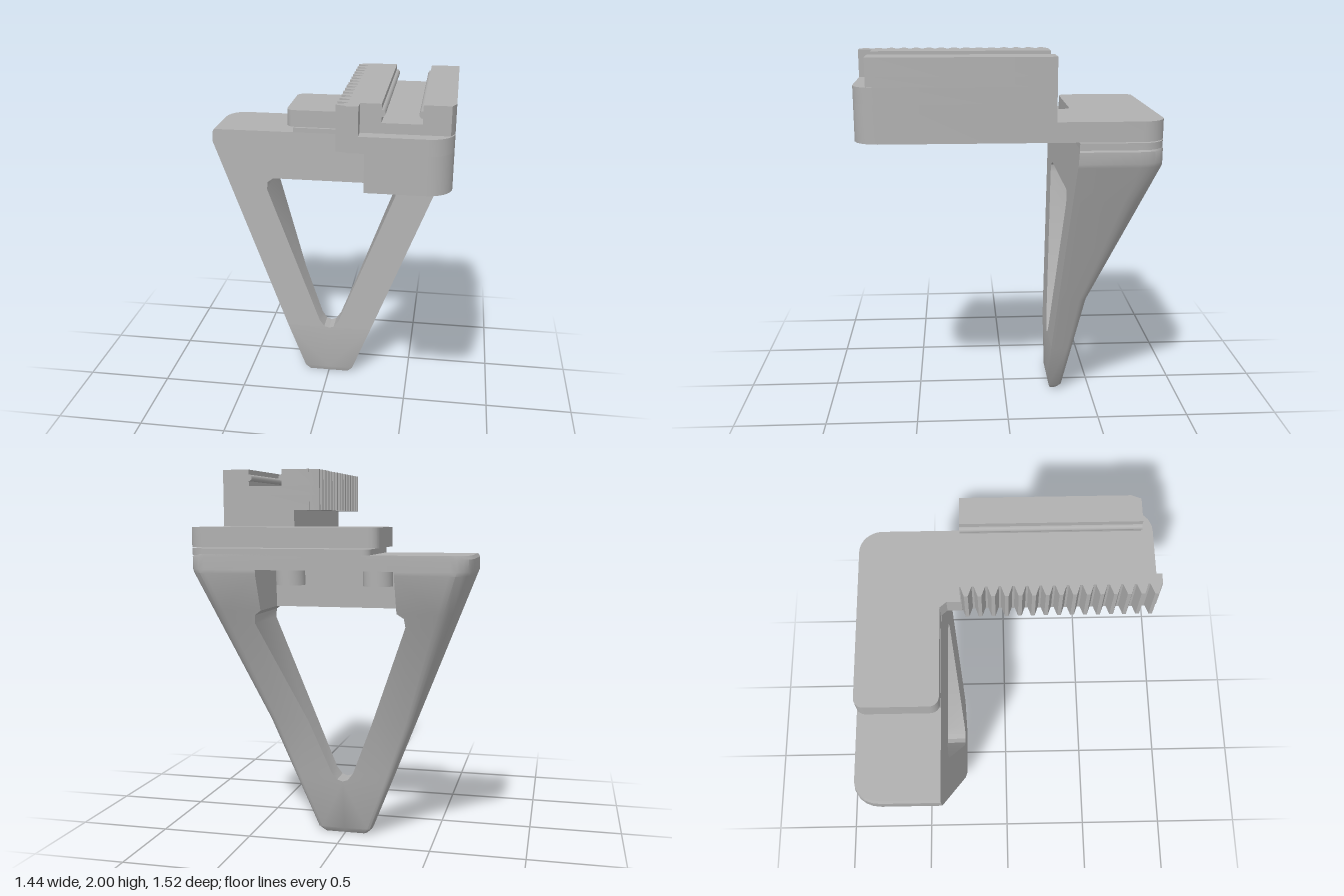
import * as THREE from 'three';
import { mergeVertices, toCreasedNormals } from 'three/addons/utils/BufferGeometryUtils.js';

const grey = new THREE.MeshStandardMaterial({ color: 0xb0b0b0 });
grey.name = 'grey';

function part(name, geometry) {
  const mesh = new THREE.Mesh(geometry, grey);
  mesh.name = name;
  return mesh;
}

// Horizontal slab from an outline of [x, z, cornerRadius] points
function slab(points, y0, y1) {
  const shape = new THREE.Shape();
  const n = points.length;
  points.forEach(([x, z, r = 0], i) => {
    const p = new THREE.Vector2(x, -z);
    const toward = (q) => p.clone().add(new THREE.Vector2(q[0], -q[1]).sub(p).setLength(r));
    const a = r ? toward(points[(i + n - 1) % n]) : p;
    if (i === 0) shape.moveTo(a.x, a.y);
    else shape.lineTo(a.x, a.y);
    if (r) {
      const b = toward(points[(i + 1) % n]);
      const c = p.clone().multiplyScalar(0.55), k = 0.45;
      // cubic close to a circular arc
      shape.bezierCurveTo(a.x * k + c.x, a.y * k + c.y, b.x * k + c.x, b.y * k + c.y, b.x, b.y);
    }
  });
  const g = new THREE.ExtrudeGeometry(shape, { depth: y1 - y0, bevelEnabled: false, curveSegments: 8 });
  g.rotateX(-Math.PI / 2).translate(0, y0, 0);
  return toCreasedNormals(g, 0.6);
}

// Solid through stacked rings of [x, y, z] points; mirrored across x when side is -1
function loft(rings, side = 1) {
  const n = rings[0].length, pos = [], index = [];
  const tri = (a, b, c) => (side > 0 ? index.push(a, b, c) : index.push(a, c, b));
  rings.flat().forEach(([x, y, z]) => pos.push(x * side, y, z));
  const top = (rings.length - 1) * n;
  for (let i = 0; i < rings.length - 1; i++) {
    for (let j = 0; j < n; j++) {
      const a = i * n + j, b = i * n + (j + 1) % n;
      tri(a, b, b + n);
      tri(a, b + n, a + n);
    }
  }
  for (let j = 1; j < n - 1; j++) {
    tri(0, j + 1, j);
    tri(top, top + j, top + j + 1);
  }
  const g = new THREE.BufferGeometry();
  g.setAttribute('position', new THREE.Float32BufferAttribute(pos, 3));
  g.setIndex(index);
  return toCreasedNormals(mergeVertices(g), 0.5);
}

// Linear interpolation through [y, value] pairs
function along(table, y) {
  for (let i = 1; i < table.length; i++) {
    const [y0, v0] = table[i - 1], [y1, v1] = table[i];
    if (y <= y1) return v0 + (v1 - v0) * Math.max(0, (y - y0) / (y1 - y0));
  }
  return table[table.length - 1][1];
}

const outerX = [[0, 0.12], [0.03, 0.15], [1.48, 0.72], [1.54, 0.72], [1.557, 0.71]];
const frontZ = [[0, -0.27], [0.03, -0.26], [0.31, -0.26], [1.557, -0.333]];
const backZ = [[0, -0.315], [0.03, -0.335], [0.65, -0.435], [1.46, -0.76]];
const roundX = [[0, 0.02], [0.65, 0.04], [1.48, 0.1]];
const roundZ = [[0, 0.02], [0.65, 0.04], [1.48, 0.13]];

function createFrame() {
  const frame = new THREE.Group();
  frame.name = 'triangularFrame';
  // [height, inner edge]: solid foot, open leg, solid top
  const rows = [[0, 0], [0.03, 0], [0.31, 0], [0.32, 0.03], [0.36, 0.06], [0.65, 0.174], [1.2, 0.39],
    [1.245, 0.385], [1.27, 0.35], [1.46, 0.35], [1.48, 0.35], [1.48, 0], [1.54, 0], [1.557, 0]];
  const rings = rows.map(([y, inner]) => {
    const xo = along(outerX, y), zf = along(frontZ, y), zb = along(backZ, y);
    const rx = along(roundX, y), rz = along(roundZ, y);
    const ring = [[inner, y, zf], [xo, y, zf]];
    for (let k = 0; k <= 5; k++) {
      const t = (k / 5) * Math.PI / 2;
      ring.push([xo - rx + rx * Math.cos(t), y, zb + rz - rz * Math.sin(t)]);
    }
    ring.push([inner, y, zb]);
    return ring;
  });
  frame.add(part('leftLeg', loft(rings, 1)), part('rightLeg', loft(rings, -1)));

  // Thin wall closing the front of the crossbar
  const wall = [1.27, 1.48].map((y) => {
    const zf = along(frontZ, y);
    return [[-0.35, y, zf], [0.35, y, zf], [0.35, y, -0.42], [-0.35, y, -0.42]];
  });
  frame.add(part('crossbarFrontWall', loft(wall)));

  // Raised seat under the bracket
  frame.add(part('bracketSeat', slab([[-0.23, -0.76, 0.04], [0.72, -0.76, 0.12], [0.72, -0.333],
    [-0.23, -0.333]], 1.55, 1.585)));

  // Socket-head screws in the recess
  for (const x of [-0.23, 0.23]) {
    const head = new THREE.Shape().absarc(0, 0, 0.075, 0, Math.PI * 2);
    const socket = new THREE.Path();
    for (let i = 0; i <= 6; i++) {
      const a = (i * Math.PI) / 3;
      socket[i ? 'lineTo' : 'moveTo'](0.042 * Math.cos(a), 0.042 * Math.sin(a));
    }
    head.holes.push(socket);
    const g = new THREE.ExtrudeGeometry(head, { depth: 0.09, bevelEnabled: false, curveSegments: 16 });
    g.rotateX(-Math.PI / 2).translate(x, 1.395, -0.55);
    frame.add(part('screwHead', toCreasedNormals(g, 0.6)));
  }
  return frame;
}

function createRail() {
  const rail = new THREE.Group();
  rail.name = 'toothedRail';
  const z0 = -0.22, z1 = 0.76, count = 15, pitch = (z1 - z0) / count;
  const teeth = [];
  for (let i = 0; i < count; i++) {
    for (const [x, f] of [[0.225, 0.08], [0.173, 0.36], [0.173, 0.64], [0.225, 0.92]]) {
      teeth.push([x, z0 + (i + f) * pitch]);
    }
  }
  const edge = [[0.225, z0], ...teeth, [0.225, z1]];
  const step = [[0.28, z1], [0.28, 0.69]];

  rail.add(part('railBase', slab([[0.31, z0], [0.72, z0], [0.72, z1, 0.12], [0.31, z1]], 1.59, 1.78)));
  rail.add(part('railShelf', slab([...edge, [0.72, z1, 0.12], [0.72, z0]], 1.78, 1.86)));
  rail.add(part('channelFloor', slab([...edge, ...step, [0.7, 0.69], [0.72, 0.64], [0.72, z0]], 1.86, 1.91)));
  rail.add(part('toothedWall', slab([...edge, ...step, [0.38, 0.69], [0.38, z0]], 1.91, 2)));
  rail.add(part('plainWall', slab([[0.57, z0], [0.57, 0.69], [0.7, 0.69], [0.72, 0.64], [0.72, z0]], 1.91, 2)));

  // Small beads along both channel walls
  for (const x of [0.38, 0.57]) {
    const bead = new THREE.CylinderGeometry(0.018, 0.018, 0.91, 10);
    bead.rotateX(Math.PI / 2).translate(x, 1.955, 0.235);
    rail.add(part('channelBead', bead));
  }
  return rail;
}

export function createModel() {
  const model = new THREE.Group();
  model.name = 'railStand';
  model.add(createFrame());
  model.add(part('bracketPlate', slab([[-0.27, -0.76, 0.05], [0.72, -0.76, 0.12], [0.72, -0.22],
    [0.3, -0.22], [0.3, -0.3], [0.27, -0.335], [-0.27, -0.335, 0.05]], 1.59, 1.69)));
  model.add(createRail());
  return model;
}
